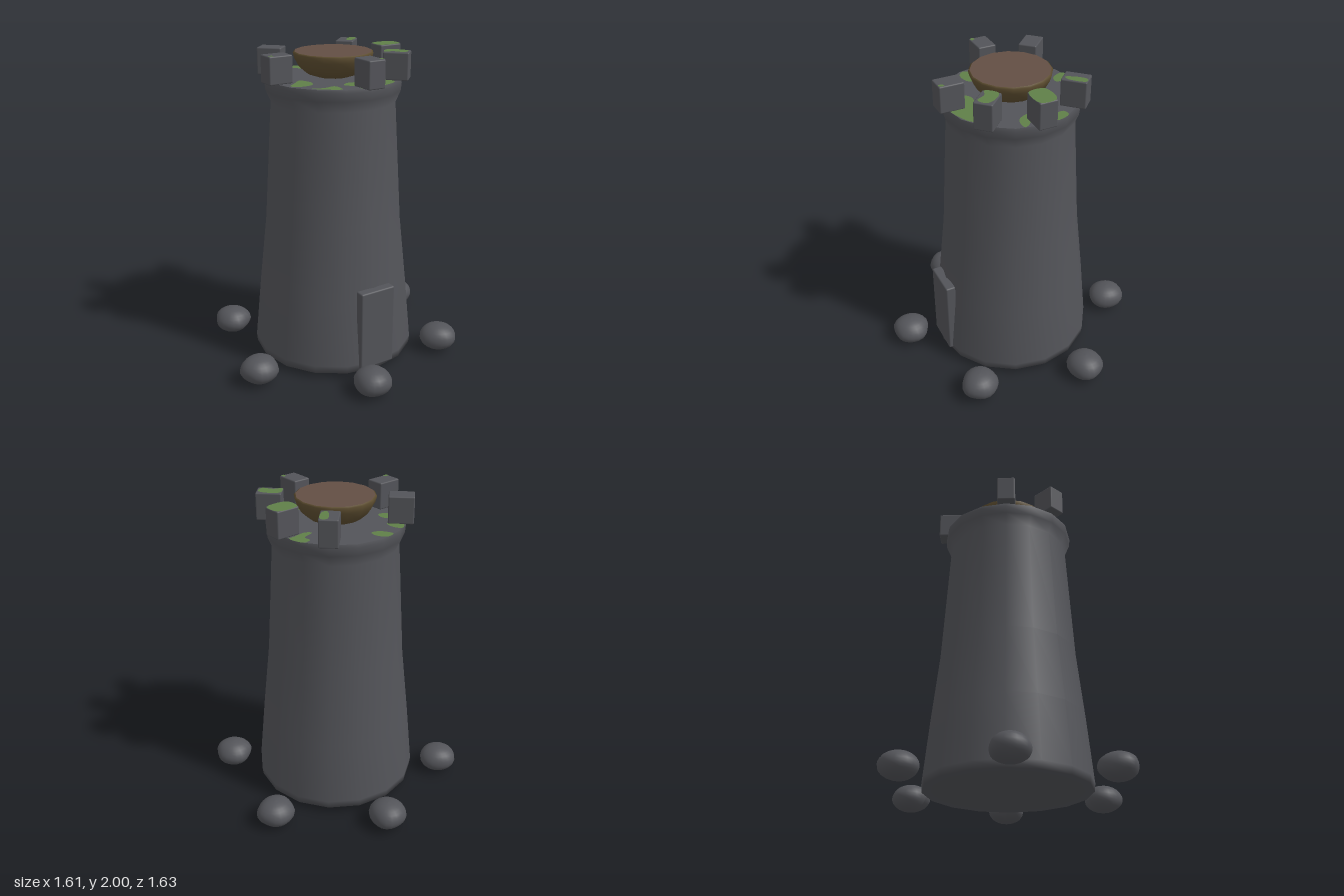
import * as THREE from 'three';
import { RoundedBoxGeometry } from 'three/addons/geometries/RoundedBoxGeometry.js';

const mat = (name, color) => {
  const m = new THREE.MeshStandardMaterial({ color });
  m.name = name;
  return m;
};

export function createModel() {
  const stone = mat('dark stone', 0x535459);
  const moss = mat('moss green', 0x5f7f48);
  const wood = mat('brown wood', 0x634f44);
  const bronze = mat('olive bronze', 0x5f4f31);

  const root = new THREE.Group();
  root.name = 'watchtower';
  const add = (name, geo, material, x = 0, y = 0, z = 0, parent = root) => {
    const m = new THREE.Mesh(geo, material);
    m.name = name;
    m.position.set(x, y, z);
    parent.add(m);
    return m;
  };
  const lathe = (pts, n) => new THREE.LatheGeometry(pts.map(p => new THREE.Vector2(...p)), n);
  const disc = (r) => new THREE.CircleGeometry(r, 16).rotateX(-Math.PI / 2);

  // Flat irregular patch from a closed smooth curve through [x, z] points
  const patch = (pts) => {
    const curve = new THREE.CatmullRomCurve3(
      pts.map(([x, z]) => new THREE.Vector3(x, -z, 0)), true);
    const shape = new THREE.Shape(curve.getPoints(28).map(p => new THREE.Vector2(p.x, p.y)));
    return new THREE.ShapeGeometry(shape).rotateX(-Math.PI / 2);
  };

  // Tapered wall with a flared rim and closed base
  add('towerWall', lathe([
    [0, 0.04], [0.52, 0.04], [0.525, 0.09], [0.485, 0.5], [0.437, 0.94],
    [0.39, 1.69], [0.42, 1.76], [0.425, 1.81], [0.42, 1.83],
  ], 16), stone);
  add('towerTop', disc(0.42), stone, 0, 1.83);

  // Moss growing on the tower top
  const patches = [
    [[-0.1, -0.4], [-0.04, -0.415], [0, -0.36], [-0.01, -0.31], [-0.06, -0.32]],
    [[-0.25, -0.33], [-0.2, -0.37], [-0.17, -0.33], [-0.18, -0.26], [-0.22, -0.27]],
    [[-0.33, -0.18], [-0.27, -0.21], [-0.23, -0.17], [-0.25, -0.11], [-0.31, -0.13]],
    [[-0.38, 0.14], [-0.31, 0.07], [-0.25, 0.02], [-0.22, 0.1], [-0.25, 0.17], [-0.34, 0.18]],
    [[-0.31, 0.26], [-0.24, 0.28], [-0.16, 0.27], [-0.17, 0.37], [-0.23, 0.34]],
    [[-0.1, 0.28], [-0.05, 0.23], [0.08, 0.26], [0.2, 0.27], [0.22, 0.34], [0.1, 0.4], [-0.06, 0.41], [-0.05, 0.34]],
    [[0.16, 0.18], [0.22, 0.17], [0.26, 0.21], [0.2, 0.25], [0.15, 0.23]],
    [[0.33, -0.17], [0.38, -0.18], [0.41, -0.08], [0.36, -0.07], [0.28, -0.06], [0.25, -0.09], [0.33, -0.12]],
    [[0.27, 0.02], [0.38, 0.07], [0.4, 0.11], [0.31, 0.1]],
  ];
  patches.forEach((p, i) => add(`topMoss${i + 1}`, patch(p), moss, 0, 1.833));

  // Battlement blocks: two of the eight places are left empty.
  // Each entry is the angle from +x towards +z, and the moss on its top.
  const blockGeo = new RoundedBoxGeometry(0.155, 0.168, 0.115, 2, 0.008);
  const full = [[-0.07, -0.05], [0.07, -0.05], [0.07, 0.05], [-0.07, 0.05]];
  const broad = [[-0.07, -0.04], [0.01, -0.05], [0.065, -0.02], [0.05, 0.04], [-0.02, 0.025], [-0.07, 0.045]];
  const strip = [[-0.06, 0.02], [0.02, 0.0], [0.07, 0.01], [0.07, 0.045], [-0.04, 0.045]];
  const corner = [[0.04, -0.05], [0.07, -0.05], [0.07, -0.03], [0.05, -0.03]];
  [[0, full], [45, broad], [90, corner], [180, corner], [225, null], [315, strip]].forEach(([deg, m]) => {
    const pivot = new THREE.Group();
    pivot.name = `battlement${deg}`;
    pivot.rotation.y = -THREE.MathUtils.degToRad(deg);
    root.add(pivot);
    add('block', blockGeo, stone, 0.393, 1.914, 0, pivot);
    if (m) add('blockMoss', patch(m), moss, 0.393, 2.0, 0, pivot);
  });

  // Fire bowl with a flat filled top
  add('bowl', lathe([
    [0, 1.83], [0.1, 1.833], [0.165, 1.855], [0.21, 1.895], [0.238, 1.945], [0.248, 1.98], [0.236, 1.988],
  ], 16), bronze);
  add('bowlFilling', disc(0.238), wood, 0, 1.988);

  // Door slab
  add('door', new RoundedBoxGeometry(0.245, 0.525, 0.065, 2, 0.01), stone, 0, 0.3225, 0.492);

  // Ring of rounded boulders, shaped by a gentle lumpy rule
  const rockGeo = new THREE.SphereGeometry(1, 20, 14);
  const pos = rockGeo.attributes.position;
  for (let i = 0; i < pos.count; i++) {
    const x = pos.getX(i), y = pos.getY(i), z = pos.getZ(i);
    const k = 1 + 0.045 * Math.sin(3 * x + 1) * Math.cos(2.5 * z) + 0.035 * Math.sin(4 * z + 2 * y);
    pos.setXYZ(i, x * k * 0.123, y * 0.085, z * k * 0.119);
  }
  rockGeo.computeVertexNormals();
  for (let i = 0; i < 6; i++) {
    const a = THREE.MathUtils.degToRad(-17.5 + i * 60);
    const rock = add(`boulder${i + 1}`, rockGeo, stone,
      0.714 * Math.cos(a), i % 2 ? 0.096 : 0.089, 0.714 * Math.sin(a));
    rock.rotation.y = -a;
  }
  return root;
}
